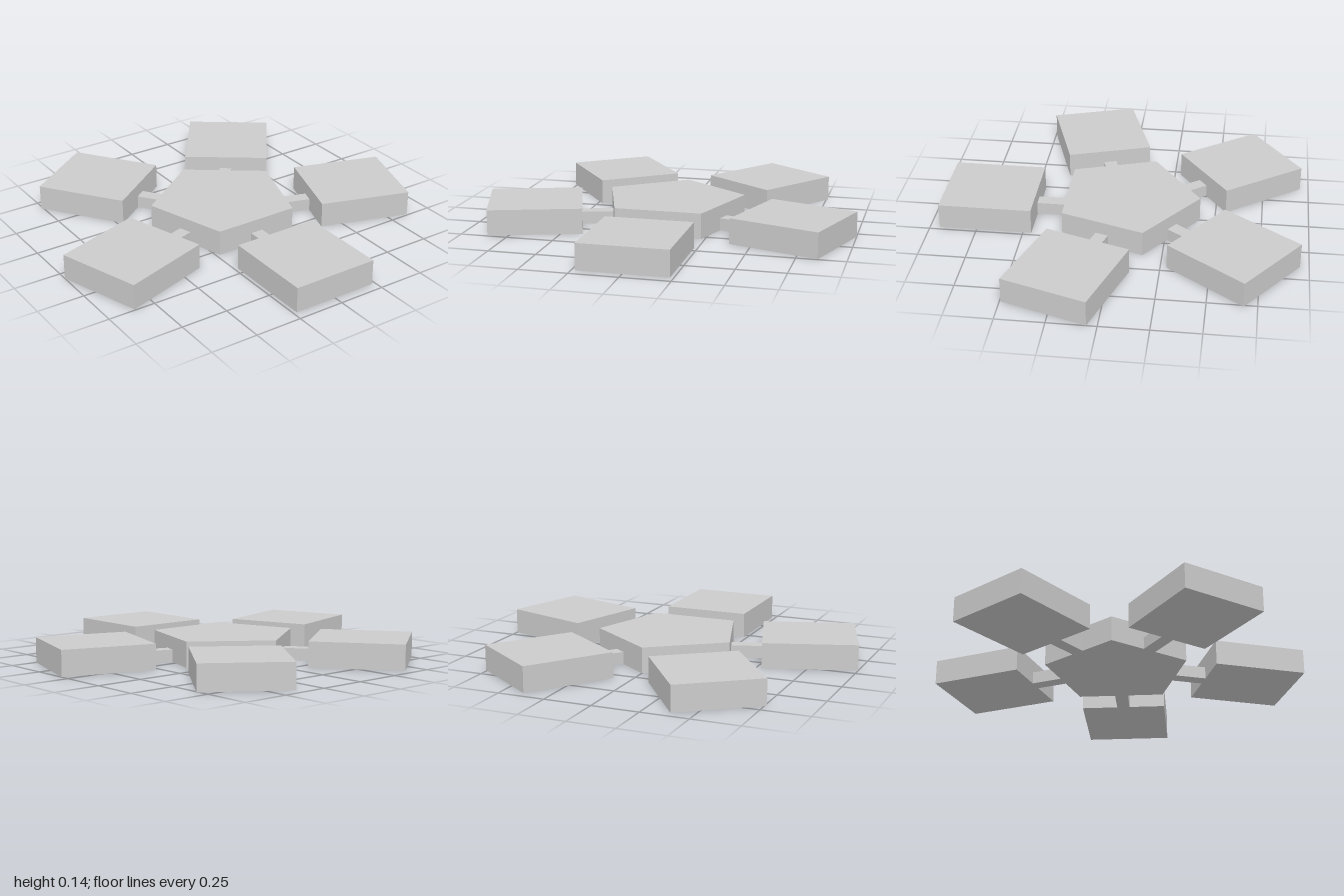
import * as THREE from 'three';

const HEIGHT = 0.135;
const HUB_RADIUS = 0.392;
const APOTHEM = HUB_RADIUS * Math.cos(Math.PI / 5);
const POD = { inner: 0.483, outer: 0.976, width: 0.463 };
const LINK = { width: 0.07, height: 0.066 };

const material = new THREE.MeshStandardMaterial({ color: 0xcccccc, flatShading: true });

// Box standing on the ground, reaching from z0 to z1
function radialBox(name, width, height, z0, z1) {
  const geometry = new THREE.BoxGeometry(width, height, z1 - z0);
  geometry.translate(0, height / 2, (z0 + z1) / 2);
  const mesh = new THREE.Mesh(geometry, material);
  mesh.name = name;
  return mesh;
}

export function createModel() {
  const model = new THREE.Group();
  model.name = 'pentagonalCluster';

  // Five-sided hub with a flat side to the front and a corner to the back
  const hubGeometry = new THREE.CylinderGeometry(HUB_RADIUS, HUB_RADIUS, HEIGHT, 5);
  hubGeometry.rotateY(Math.PI);
  hubGeometry.translate(0, HEIGHT / 2, 0);
  const hub = new THREE.Mesh(hubGeometry, material);
  hub.name = 'hub';
  model.add(hub);

  // One block and its low connecting passage per hub side
  for (let i = 0; i < 5; i++) {
    const arm = new THREE.Group();
    arm.name = `arm${i + 1}`;
    arm.add(
      radialBox('passage', LINK.width, LINK.height, APOTHEM, POD.inner),
      radialBox('block', POD.width, HEIGHT, POD.inner, POD.outer)
    );
    arm.rotation.y = (i * 2 * Math.PI) / 5;
    model.add(arm);
  }

  // Centre the footprint front to back
  model.position.z = -0.028;
  return model;
}
